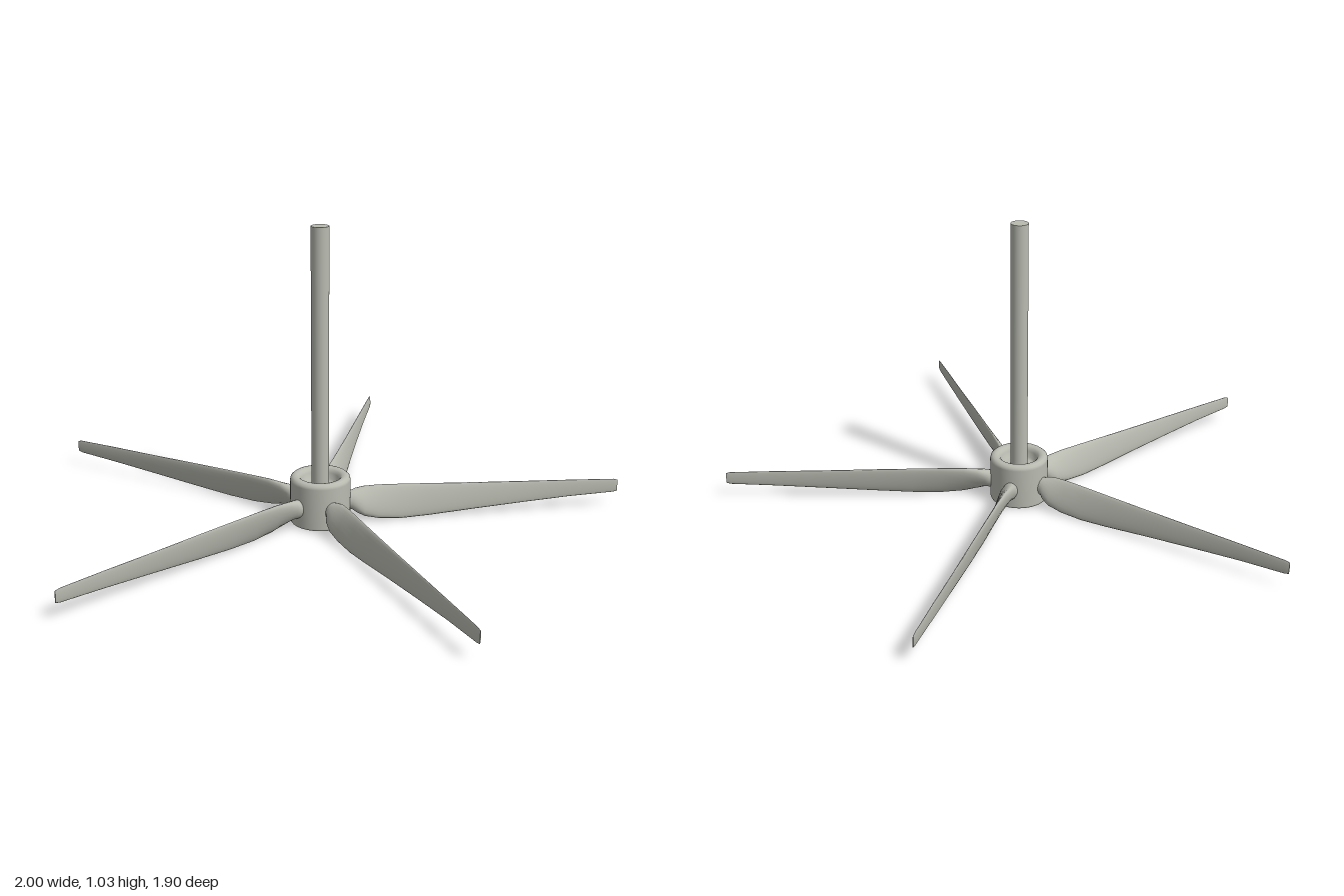
import * as THREE from 'three';

const BLADES = 5;
const SIDES = 20;

// Blade cross-sections: [radius, centre x, centre y, lean x, half height, half thickness]
// lean x moves the lower edge sideways, which gives the pitch and twist.
const SECTIONS = [
  [0.07, 0.000, 0.075, 0.004, 0.030, 0.026],
  [0.108, 0.001, 0.075, 0.006, 0.033, 0.026],
  [0.122, 0.006, 0.074, 0.020, 0.037, 0.025],
  [0.15, 0.008, 0.070, 0.023, 0.046, 0.021],
  [0.20, 0.008, 0.066, 0.020, 0.054, 0.016],
  [0.28, 0.007, 0.063, 0.016, 0.057, 0.011],
  [0.38, 0.005, 0.064, 0.012, 0.054, 0.009],
  [0.52, 0.003, 0.068, 0.008, 0.047, 0.007],
  [0.70, 0.001, 0.073, 0.005, 0.038, 0.005],
  [0.88, 0.000, 0.078, 0.002, 0.030, 0.004],
  [1.035, 0.000, 0.080, 0.001, 0.024, 0.003],
  [1.05, 0.000, 0.080, 0.001, 0.020, 0.002],
];

// Lofted blade pointing along -z
function bladeGeometry() {
  const pos = [];
  const index = [];
  const ring = ([r, cx, cy, lean, h, t]) => {
    const len = Math.hypot(lean, h);
    for (let j = 0; j < SIDES; j++) {
      const a = (j / SIDES) * Math.PI * 2;
      const c = Math.cos(a);
      const s = Math.sin(a) * t / len;
      pos.push(cx + c * lean + s * h, cy - c * h + s * lean, -r);
    }
  };
  SECTIONS.forEach(ring);
  for (let i = 0; i < SECTIONS.length - 1; i++) {
    for (let j = 0; j < SIDES; j++) {
      const k = (j + 1) % SIDES;
      const a = i * SIDES + j, b = i * SIDES + k;
      index.push(a, a + SIDES, b, b, a + SIDES, b + SIDES);
    }
  }
  // Tip cap on its own ring, so its edge stays sharp
  const tip = SECTIONS[SECTIONS.length - 1];
  const start = pos.length / 3;
  ring(tip);
  pos.push(tip[1], tip[2], -tip[0]);
  for (let j = 0; j < SIDES; j++) {
    index.push(start + SIDES, start + (j + 1) % SIDES, start + j);
  }
  const geo = new THREE.BufferGeometry();
  geo.setAttribute('position', new THREE.Float32BufferAttribute(pos, 3));
  geo.setIndex(index);
  geo.computeVertexNormals();
  return geo;
}

export function createModel() {
  const model = new THREE.Group();
  model.name = 'propeller';
  const metal = new THREE.MeshStandardMaterial({ color: 0xb9bbb1 });
  metal.name = 'warm grey metal';

  const add = (name, geo, parent = model) => {
    const mesh = new THREE.Mesh(geo, metal);
    mesh.name = name;
    parent.add(mesh);
    return mesh;
  };

  // Hub: short drum with a rounded rim and a recess around the shaft
  const profile = [
    [0, 0.004], [0.094, 0.004], [0.101, 0.007], [0.103, 0.013],
    [0.103, 0.155], [0.101, 0.164], [0.094, 0.170], [0.085, 0.172],
    [0.075, 0.170], [0.068, 0.164], [0.064, 0.155], [0.058, 0.135],
    [0.048, 0.128], [0, 0.128],
  ].map(([x, y]) => new THREE.Vector2(x, y));
  add('hub', new THREE.LatheGeometry(profile, 48));

  // Shaft rising from the recess
  const shaft = add('shaft', new THREE.CylinderGeometry(0.03, 0.03, 0.91, 32));
  shaft.position.y = 0.575;

  // Five blades around the hub
  const geo = bladeGeometry();
  for (let i = 0; i < BLADES; i++) {
    add(`blade${i + 1}`, geo).rotation.y = (-i * Math.PI * 2) / BLADES;
  }

  model.position.z = 0.1;
  const root = new THREE.Group();
  root.name = 'propellerAssembly';
  root.add(model);
  return root;
}
